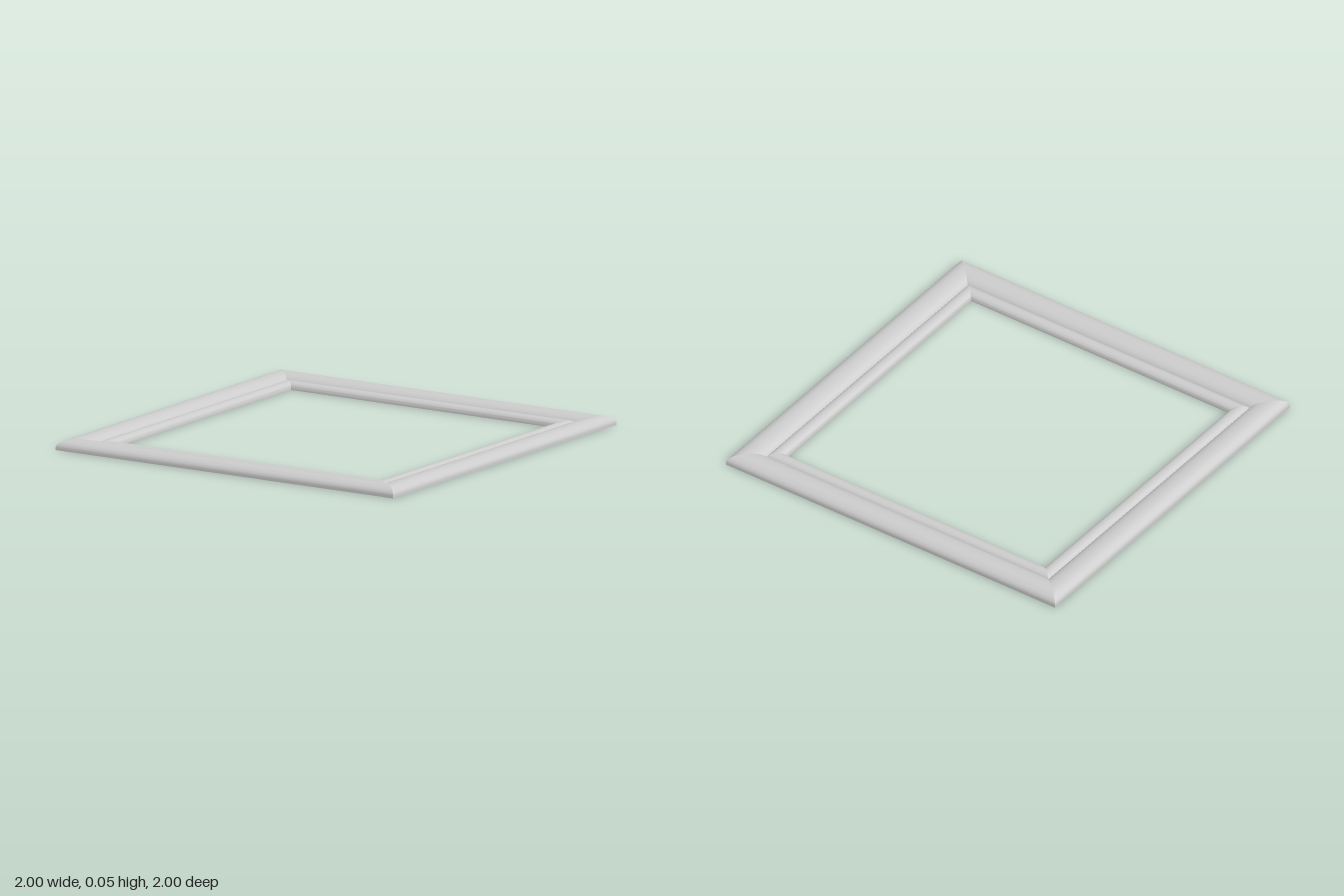
import * as THREE from 'three';
import { toCreasedNormals } from 'three/addons/utils/BufferGeometryUtils.js';

// Moulding cross-section: x is the distance from the frame's centre, y is up
function mouldingProfile() {
  const s = new THREE.Shape();
  s.moveTo(0.785, 0);
  s.lineTo(1, 0);
  s.lineTo(1, 0.014);
  // broad outer roll
  s.bezierCurveTo(0.998, 0.034, 0.97, 0.053, 0.935, 0.053);
  s.bezierCurveTo(0.9, 0.053, 0.868, 0.042, 0.856, 0.02);
  // small inner bead
  s.bezierCurveTo(0.848, 0.032, 0.838, 0.037, 0.822, 0.037);
  s.bezierCurveTo(0.806, 0.037, 0.79, 0.03, 0.785, 0.014);
  s.lineTo(0.785, 0);
  return s;
}

// One side of the frame, its ends sheared to 45 degree mitres
function mitredBar() {
  const extruded = new THREE.ExtrudeGeometry(mouldingProfile(), {
    depth: 1, bevelEnabled: false, curveSegments: 10,
  });
  // keep the long walls only; the end caps would lie inside the joints
  const walls = extruded.groups[1];
  const from = walls.start * 3, to = (walls.start + walls.count) * 3;
  const geo = new THREE.BufferGeometry();
  geo.setAttribute('position', new THREE.BufferAttribute(
    extruded.attributes.position.array.slice(from, to), 3));
  const p = geo.attributes.position;
  for (let i = 0; i < p.count; i++) {
    p.setZ(i, p.getZ(i) > 0.5 ? p.getX(i) : -p.getX(i));
  }
  return toCreasedNormals(geo, 0.6);
}

export function createModel() {
  const group = new THREE.Group();
  group.name = 'squareFrame';
  const material = new THREE.MeshStandardMaterial({ color: 0xcccccc });
  const bar = mitredBar();

  // four identical bars around the opening
  ['leftBar', 'backBar', 'rightBar', 'frontBar'].forEach((name, i) => {
    const mesh = new THREE.Mesh(bar, material);
    mesh.name = name;
    mesh.rotation.y = i * Math.PI / 2;
    group.add(mesh);
  });
  return group;
}
